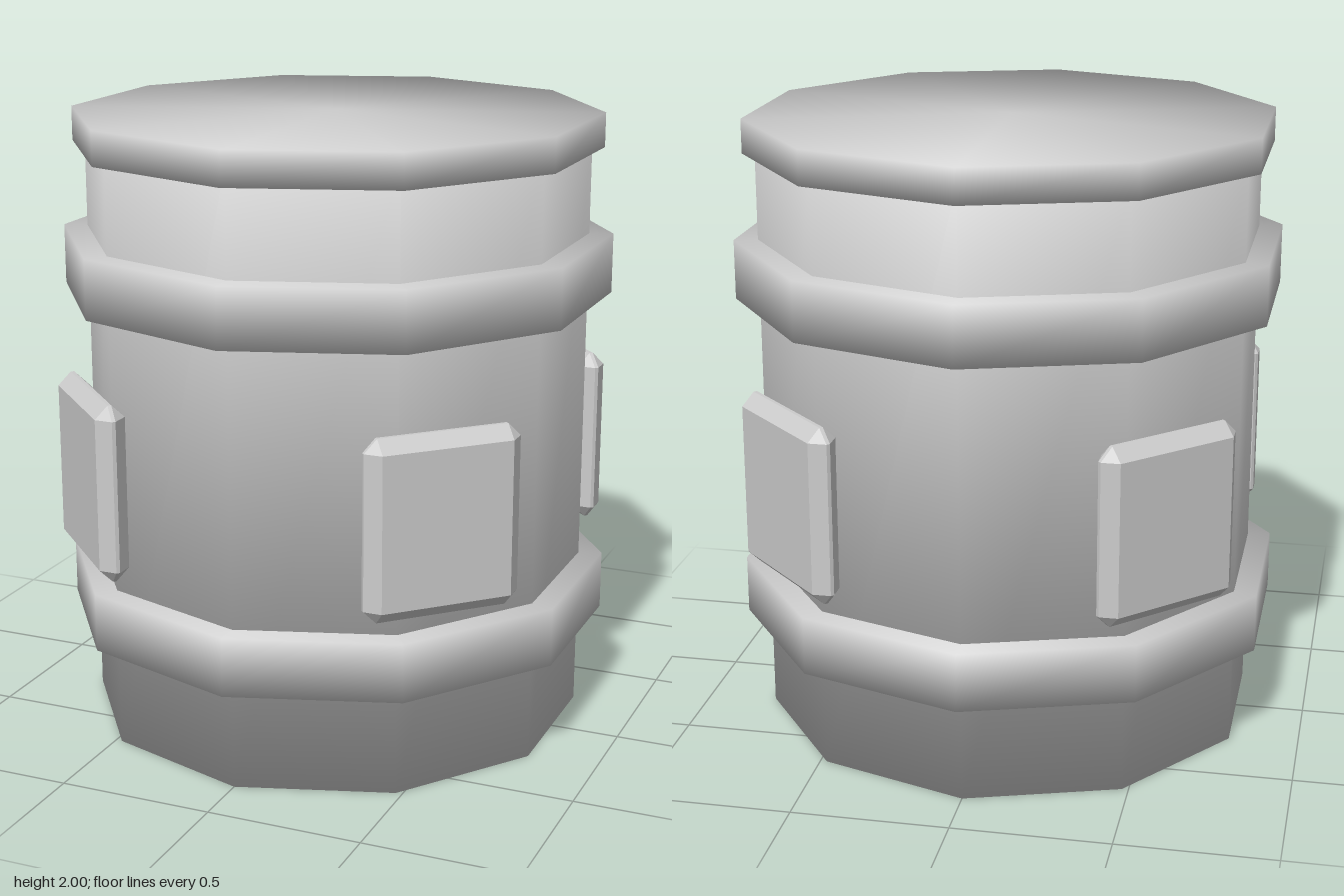
import * as THREE from 'three';
import { mergeVertices } from 'three/addons/utils/BufferGeometryUtils.js';
import { ConvexGeometry } from 'three/addons/geometries/ConvexGeometry.js';

const SIDES = 10;

// Closed ten-sided drum whose normals roll smoothly over the rims
function drumGeometry(radius, y0, y1) {
  let g = new THREE.CylinderGeometry(radius, radius, y1 - y0, SIDES);
  g.deleteAttribute('uv');
  g.deleteAttribute('normal');
  g = mergeVertices(g);
  const p = g.attributes.position;
  const normals = new THREE.Float32BufferAttribute(p.count * 3, 3);
  const n = new THREE.Vector3();
  for (let i = 0; i < p.count; i++) {
    n.set(p.getX(i) / radius * 0.77, Math.sign(p.getY(i)) * 0.64, p.getZ(i) / radius * 0.77).normalize();
    normals.setXYZ(i, n.x, n.y, n.z);
  }
  g.setAttribute('normal', normals);
  return g.translate(0, (y0 + y1) / 2, 0);
}

// Box with all edges chamfered; a, b, c are half sizes
function chamferedBox(a, b, c, bevel) {
  const points = [];
  for (const x of [-1, 1]) for (const y of [-1, 1]) for (const z of [-1, 1]) {
    points.push(
      new THREE.Vector3(x * a, y * (b - bevel), z * (c - bevel)),
      new THREE.Vector3(x * (a - bevel), y * b, z * (c - bevel)),
      new THREE.Vector3(x * (a - bevel), y * (b - bevel), z * c)
    );
  }
  return new ConvexGeometry(points);
}

export function createModel() {
  const model = new THREE.Group();
  model.name = 'barrel';
  const grey = new THREE.MeshStandardMaterial({ color: 0xcccccc });
  grey.name = 'light grey';

  const add = (name, geometry) => {
    const mesh = new THREE.Mesh(geometry, grey);
    mesh.name = name;
    model.add(mesh);
    return mesh;
  };

  // Body, hoops and lid
  add('body', drumGeometry(0.815, 0, 1.95));
  add('lowerHoop', drumGeometry(0.892, 0.335, 0.525));
  add('upperHoop', drumGeometry(0.892, 1.42, 1.612));
  add('lid', drumGeometry(0.855, 1.89, 2));

  // Four chamfered plates on the diagonals
  const plate = chamferedBox(0.255, 0.288, 0.048, 0.042);
  const names = ['frontLeftPlate', 'backLeftPlate', 'backRightPlate', 'frontRightPlate'];
  names.forEach((name, i) => {
    const angle = Math.PI / 4 + i * Math.PI / 2;
    const mesh = add(name, plate);
    mesh.position.set(Math.sin(angle) * 0.836, 0.878, Math.cos(angle) * 0.836);
    mesh.rotation.y = angle;
  });

  return model;
}
